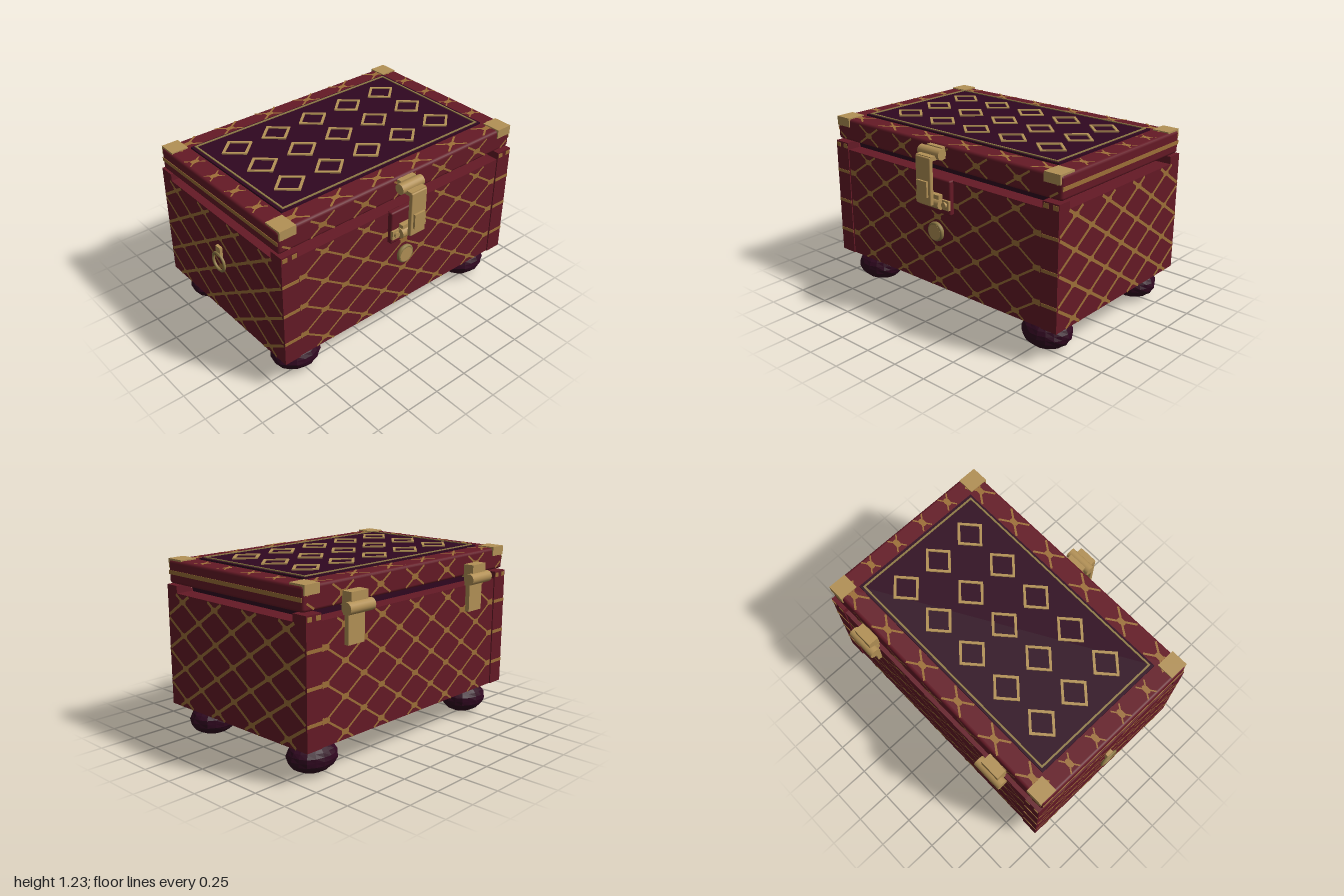
import * as THREE from 'three';
import { RoundedBoxGeometry } from 'three/addons/geometries/RoundedBoxGeometry.js';

const mat = (name, color) => Object.assign(new THREE.MeshStandardMaterial({ color }), { name });

export function createModel() {
  const red = mat('red leather', 0x651a26);
  const gold = mat('gold pattern', 0x9e7038);
  const brass = mat('brass', 0xb39156);
  const oldBrass = mat('dark brass', 0x8f7b46);
  const plum = mat('plum velvet', 0x300720);

  const root = new THREE.Group();
  root.name = 'chest';
  const CX = 0.015, CZ = -0.025;

  const add = (name, geo, m, x = 0, y = 0, z = 0) => {
    const mesh = new THREE.Mesh(geo, m);
    mesh.name = name;
    mesh.position.set(x, y, z);
    root.add(mesh);
    return mesh;
  };
  // box given by its limits, optionally with rounded edges
  const box = (name, m, x0, x1, y0, y1, z0, z1, r = 0) => {
    const s = [x1 - x0, y1 - y0, z1 - z0];
    const geo = r ? new RoundedBoxGeometry(...s, 2, r) : new THREE.BoxGeometry(...s);
    return add(name, geo, m, (x0 + x1) / 2, (y0 + y1) / 2, (z0 + z1) / 2);
  };
  // cylinder lying along x
  const roll = (name, m, x0, x1, y, z, r) => {
    const mesh = add(name, new THREE.CylinderGeometry(r, r, x1 - x0, 20), m, (x0 + x1) / 2, y, z);
    mesh.rotation.z = Math.PI / 2;
    return mesh;
  };

  // diagonal lattice clipped to a w x h rectangle, with a knot at (u, v) and every pitch
  function lattice(name, w, h, u, v, pos, rot, t = 0.007) {
    const P = 0.33, Q = 0.2245, p = [];
    const hw = w / 2, hh = h / 2, W = hw - t, H = hh - t / 2;
    const quad = (a, b, c, d) => [a, b, c, a, c, d].forEach(q => p.push(q[0], q[1], 0));
    const len = Math.hypot(P, Q), ox = (Q / len) * t, oy = (P / len) * t;
    for (const s of [1, -1]) {
      for (let k = -14; k <= 14; k++) {
        // line y = v + s * (x - x0) * Q / P
        const x0 = u + k * P, m = s * Q / P;
        const xa = x0 + (-H - v) / m, xb = x0 + (H - v) / m;
        const lo = Math.max(-W, Math.min(xa, xb)), hi = Math.min(W, Math.max(xa, xb));
        if (hi <= lo) continue;
        const ya = v + m * (lo - x0), yb = v + m * (hi - x0);
        quad([lo + s * ox, ya - oy], [hi + s * ox, yb - oy], [hi - s * ox, yb + oy], [lo - s * ox, ya + oy]);
      }
    }
    // knots where the lines cross
    for (let i = -16; i <= 16; i++) for (let j = -16; j <= 16; j++) {
      if ((i + j) % 2) continue;
      const x = u + i * P / 2, y = v + j * Q / 2, a = 0.031, b = 0.019;
      if (Math.abs(x) + a > hw || Math.abs(y) + b > hh) continue;
      quad([x - a, y - b * 0.4], [x - a * 0.4, y - b], [x + a * 0.4, y - b], [x + a, y - b * 0.4]);
      quad([x - a, y + b * 0.4], [x - a, y - b * 0.4], [x + a, y - b * 0.4], [x + a, y + b * 0.4]);
      quad([x - a, y + b * 0.4], [x + a, y + b * 0.4], [x + a * 0.4, y + b], [x - a * 0.4, y + b]);
    }
    const geo = new THREE.BufferGeometry();
    geo.setAttribute('position', new THREE.Float32BufferAttribute(p, 3));
    geo.computeVertexNormals();
    const mesh = add(name, geo, gold, ...pos);
    mesh.rotation.set(...rot);
  }

  // body, corner posts and inner lip
  box('body', red, -0.955, 0.985, 0.22, 0.995, -0.672, 0.622);
  for (const s of [-1, 1]) {
    box('sidePanel', red, s < 0 ? -0.97 : 0.97, s < 0 ? -0.955 : 1, 0.22, 0.995, -0.57, 0.53);
    const x0 = s < 0 ? -0.97 : 0.88, x1 = s < 0 ? -0.85 : 1.0;
    for (const f of [-1, 1]) {
      box('cornerPost', red, x0, x1, 0.22, 1.045, f > 0 ? 0.53 : -0.68, f > 0 ? 0.63 : -0.57);
      const z = f > 0 ? 0.631 : -0.681;
      for (const y of [0.83, 0.607, 0.383])
        box('postStripe', gold, x0, x1, y - 0.011, y + 0.011, z - 0.002, z + 0.002);
      for (const dx of [0.025, 0.095])
        box('postFleck', gold, x0 + dx - 0.018, x0 + dx + 0.018, 1.005, 1.035, z - 0.002, z + 0.002);
    }
  }
  box('innerLip', plum, -0.85, 0.88, 0.98, 1.045, -0.565, 0.52);
  box('lidUnderside', plum, -0.83, 0.86, 1.04, 1.06, -0.54, 0.5);

  // lattice on the four walls
  const midY = 0.6075, wallV = 0.72 - midY;
  lattice('frontLattice', 1.72, 0.775, 0, wallV, [CX, midY, 0.625], [0, 0, 0]);
  lattice('backLattice', 1.72, 0.775, 0, wallV, [CX, midY, -0.675], [0, Math.PI, 0]);
  lattice('rightLattice', 1.31, 0.775, -0.495, wallV, [1.003, midY, CZ], [0, Math.PI / 2, 0], 0.01);
  lattice('leftLattice', 1.31, 0.775, 0.495, wallV, [-0.973, midY, CZ], [0, -Math.PI / 2, 0], 0.01);

  // base plinth
  box('plinth', red, -0.885, 0.915, 0.185, 0.22, -0.58, 0.53);
  lattice('bottomLattice', 1.8, 1.11, 0, 0, [CX, 0.182, CZ], [Math.PI / 2, 0, 0]);
  for (let i = -5; i <= 5; i++) for (const z of [-0.581, 0.531])
    box('plinthFleck', gold, CX + i * 0.165 - 0.035, CX + i * 0.165 + 0.035, 0.195, 0.21, z - 0.002, z + 0.002);
  for (const x of [-0.886, 0.916])
    box('plinthTrim', gold, x - 0.002, x + 0.002, 0.186, 0.198, -0.58, 0.53);

  // lumpy bun feet
  const foot = new THREE.SphereGeometry(1, 18, 12);
  const fp = foot.attributes.position;
  for (let i = 0; i < fp.count; i++) {
    const x = fp.getX(i), y = fp.getY(i), z = fp.getZ(i);
    const k = 1 + 0.035 * Math.sin(9 * x + 5 * y) * Math.cos(8 * z - 6 * y);
    fp.setXYZ(i, x * k * 0.173, y * 0.106, z * k * 0.147);
  }
  const footGeo = foot.toNonIndexed();
  footGeo.computeVertexNormals();
  for (const x of [-0.762, 0.795]) for (const z of [0.455, -0.505])
    add('foot', footGeo, plum, x, 0.108, z);

  // lid with lattice, side bands and corner caps
  box('lid', red, -0.97, 1.0, 1.055, 1.21, -0.655, 0.607, 0.02);
  lattice('lidFrontLattice', 1.93, 0.13, 0, 0, [CX, 1.13, 0.61], [0, 0, 0]);
  lattice('lidBackLattice', 1.93, 0.13, 0, 0, [CX, 1.13, -0.658], [0, Math.PI, 0]);
  for (const z of [0.53, -0.585])
    lattice('lidTopLattice', 1.93, 0.125, 0.165, 0, [CX, 1.212, z], [-Math.PI / 2, 0, 0]);
  for (const x of [-0.9, 0.93])
    lattice('lidTopSideLattice', 0.12, 0.96, 0.165, 0, [x, 1.212, CZ], [-Math.PI / 2, 0, 0], 0.005);
  for (const x of [-0.971, 1.001])
    box('lidSideBand', gold, x - 0.002, x + 0.002, 1.116, 1.143, -0.65, 0.602);
  for (const [x0, x1] of [[-0.962, -0.842], [0.872, 0.992]])
    for (const [z0, z1] of [[0.48, 0.615], [-0.663, -0.535]])
      box('cornerCap', brass, x0, x1, 1.155, 1.218, z0, z1);

  // velvet top panel with inlaid frame and diamonds
  box('topPanel', plum, -0.83, 0.86, 1.205, 1.222, -0.52, 0.46);
  const outline = (pts, k) => {
    const s = new THREE.Shape(pts.map(q => new THREE.Vector2(...q)));
    s.holes.push(new THREE.Path(pts.map(([a, b]) => new THREE.Vector2(a - Math.sign(a) * k, b - Math.sign(b) * k))));
    return new THREE.ExtrudeGeometry(s, { depth: 0.009, bevelEnabled: false }).rotateX(-Math.PI / 2);
  };
  add('topFrame', outline([[-0.825, -0.475], [0.825, -0.475], [0.825, 0.475], [-0.825, 0.475]], 0.012),
    oldBrass, CX, 1.219, -0.03);
  const diamond = outline([[-0.12, 0], [0, -0.108], [0.12, 0], [0, 0.108]], 0.024);
  for (let i = -2; i <= 2; i++) for (let j = -1; j <= 1; j++)
    add('topDiamond', diamond, brass, CX + i * 0.312, 1.223, -0.03 + j * 0.28);

  // front latch
  box('latchBacking', red, -0.13, 0.16, 0.765, 1.0, 0.61, 0.655, 0.012);
  box('latchPlate', brass, -0.13, 0.16, 0.805, 0.87, 0.65, 0.67);
  box('latchCatch', brass, -0.065, 0.095, 0.81, 0.9, 0.65, 0.69);
  roll('latchPin', brass, -0.075, 0.105, 0.84, 0.675, 0.035);
  for (const x of [-0.1, 0.13]) {
    const rivet = add('latchRivet', new THREE.CylinderGeometry(0.02, 0.02, 0.02, 14), brass, x, 0.84, 0.675);
    rivet.rotation.x = Math.PI / 2;
  }
  box('latchLidMount', brass, -0.05, 0.08, 1.12, 1.2, 0.605, 0.64);
  roll('latchHinge', brass, -0.08, 0.105, 1.163, 0.66, 0.036);
  box('latchBend', brass, -0.05, 0.08, 1.13, 1.16, 0.66, 0.735);
  box('latchArm', brass, -0.05, 0.08, 0.838, 1.155, 0.715, 0.745, 0.008);
  box('latchGrip', brass, -0.03, 0.06, 0.895, 1.0, 0.74, 0.76);

  // round lock boss
  const boss = add('lockBoss', new THREE.CylinderGeometry(0.052, 0.052, 0.045, 28), brass, CX, 0.622, 0.634);
  boss.rotation.x = Math.PI / 2;
  add('lockRim', new THREE.TorusGeometry(0.056, 0.011, 10, 28), oldBrass, CX, 0.622, 0.642).scale.z = 1.4;

  // ring pull on one side
  box('ringMount', brass, -0.99, -0.965, 0.69, 0.77, -0.055, -0.005);
  const ring = add('ringPull', new THREE.TorusGeometry(0.064, 0.01, 10, 28), oldBrass, -0.99, 0.652, -0.03);
  ring.rotation.y = Math.PI / 2;

  // back hinges
  for (const x of [-0.585, 0.61]) {
    box('hingeLower', brass, x - 0.07, x + 0.07, 0.815, 1.04, -0.705, -0.66);
    box('hingeUpper', brass, x - 0.072, x + 0.072, 1.05, 1.14, -0.73, -0.64);
    roll('hingeBarrel', brass, x - 0.108, x + 0.108, 1.045, -0.722, 0.039);
  }
  return root;
}
